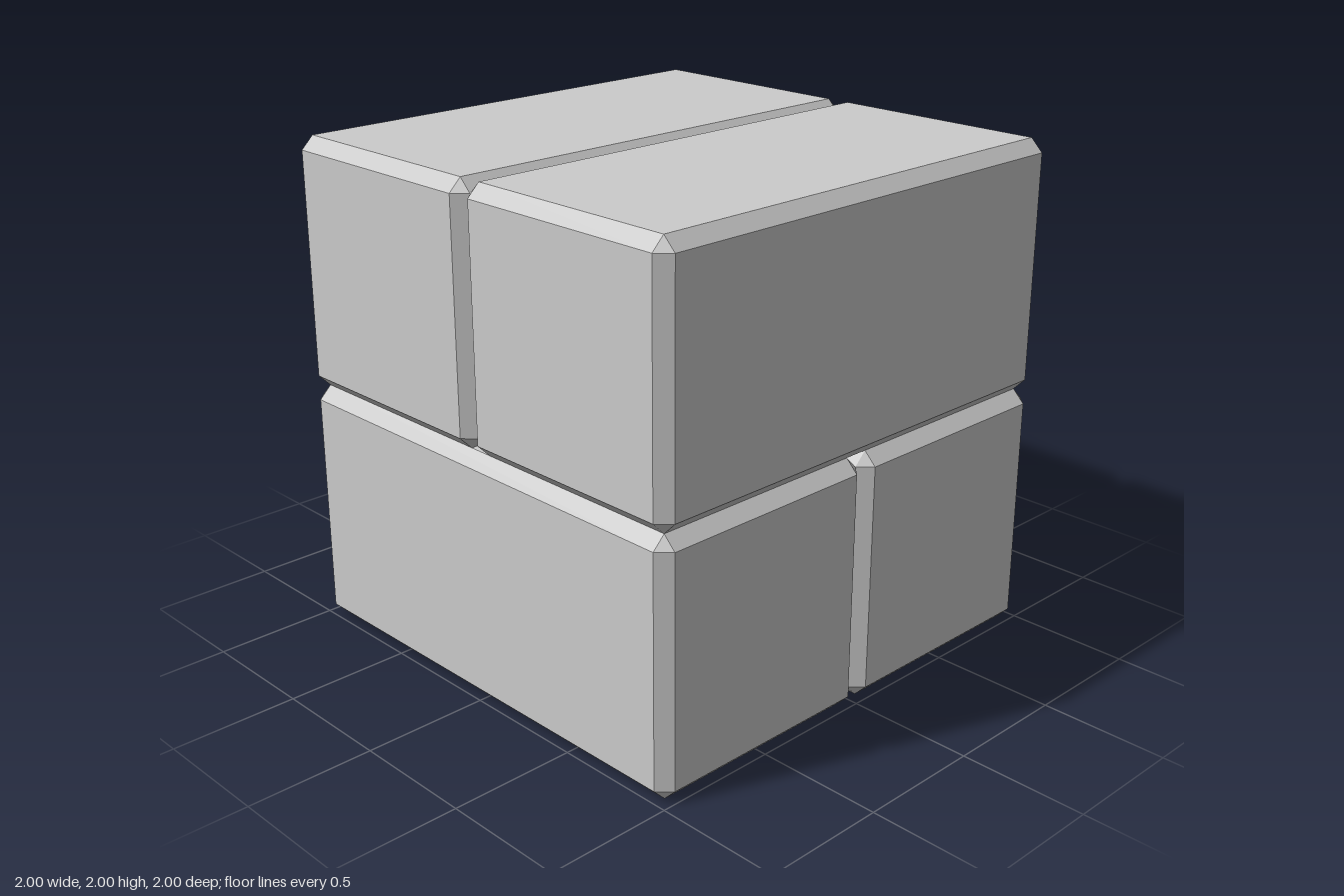
import * as THREE from 'three';
import { ConvexGeometry } from 'three/addons/geometries/ConvexGeometry.js';

const BEVEL = 0.05;

// Box with every edge and corner cut flat
function chamferedBox(w, h, d) {
  const half = [w / 2, h / 2, d / 2];
  const points = [];
  for (const sx of [-1, 1]) for (const sy of [-1, 1]) for (const sz of [-1, 1]) {
    const signs = [sx, sy, sz];
    // Three points per corner, one on each adjoining face
    for (let face = 0; face < 3; face++) {
      points.push(new THREE.Vector3(...signs.map((s, i) => s * (half[i] - (i === face ? 0 : BEVEL)))));
    }
  }
  return new ConvexGeometry(points);
}

export function createModel() {
  const group = new THREE.Group();
  group.name = 'stackedBlocks';
  const material = new THREE.MeshStandardMaterial({ color: 0xcccccc, flatShading: true });

  const addBlock = (name, size, position) => {
    const block = new THREE.Mesh(chamferedBox(...size), material);
    block.name = name;
    block.position.set(...position);
    group.add(block);
  };

  for (const side of [-1, 1]) {
    // Lower layer: blocks run left to right
    addBlock(side > 0 ? 'lowerFrontBlock' : 'lowerBackBlock', [2, 1, 1], [0, 0.5, side * 0.5]);
    // Upper layer: blocks run front to back
    addBlock(side > 0 ? 'upperLeftBlock' : 'upperRightBlock', [1, 1, 2], [side * 0.5, 1.5, 0]);
  }
  return group;
}
